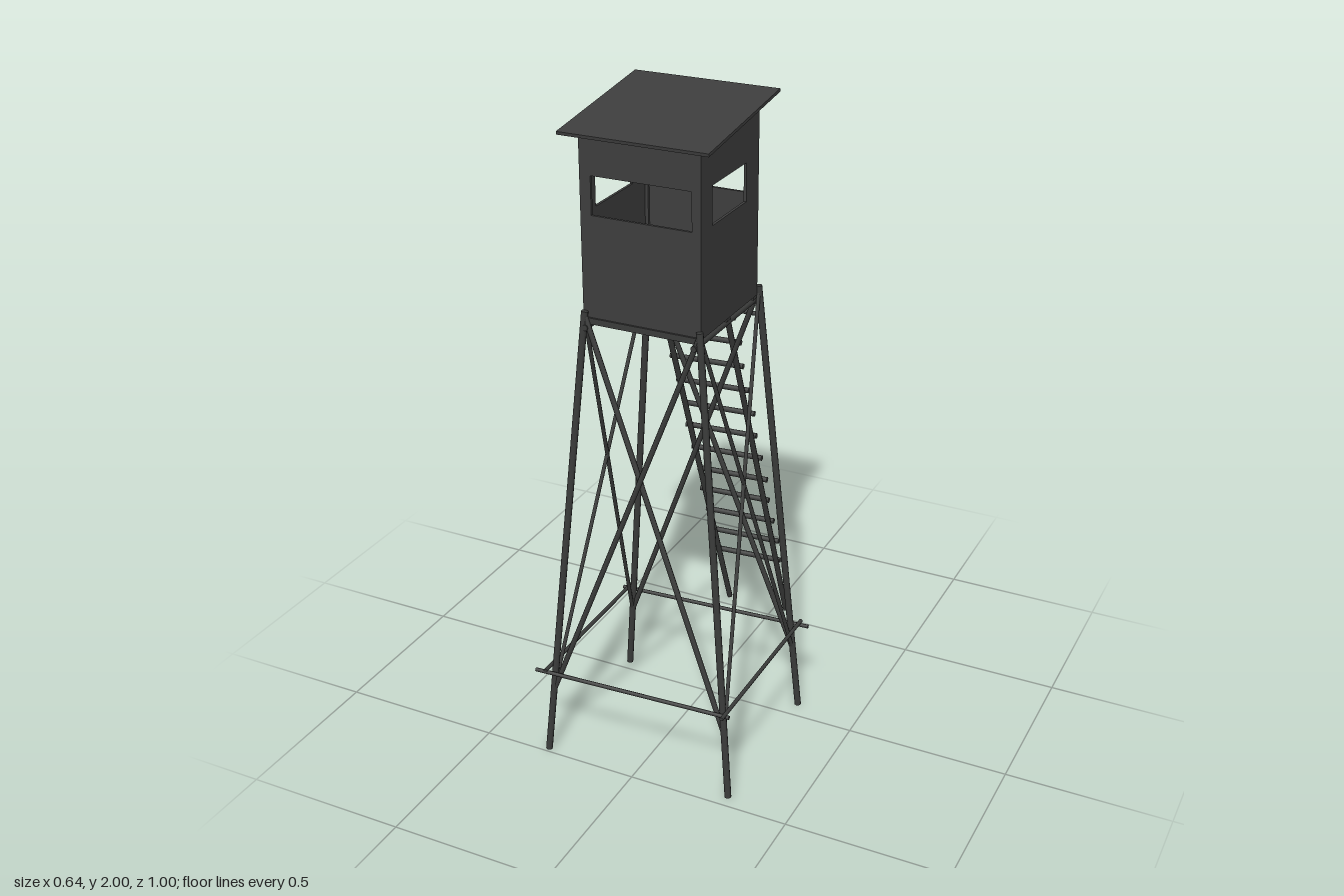
import * as THREE from 'three';

export function createModel() {
  const model = new THREE.Group();
  const panel = new THREE.MeshStandardMaterial({ color: 0x3e3e3e });
  panel.name = 'dark panel';
  const wood = new THREE.MeshStandardMaterial({ color: 0x3b3c3b });
  wood.name = 'dark timber';
  const V = (x, y, z) => new THREE.Vector3(x, y, z);

  function add(name, geometry, material, parent = model) {
    const mesh = new THREE.Mesh(geometry, material);
    mesh.name = name;
    parent.add(mesh);
    return mesh;
  }
  // round pole between two points
  function pole(name, a, b, r, parent = model) {
    const dir = b.clone().sub(a);
    const m = add(name, new THREE.CylinderGeometry(r, r, dir.length(), 8), wood, parent);
    m.position.copy(a).add(b).multiplyScalar(0.5);
    m.quaternion.setFromUnitVectors(V(0, 1, 0), dir.normalize());
    return m;
  }
  function box(name, w, h, d, x, y, z, material = wood, parent = model) {
    const m = add(name, new THREE.BoxGeometry(w, h, d), material, parent);
    m.position.set(x, y, z);
    return m;
  }
  // flat wall with rectangular openings [x0, y0, x1, y1]
  const T = 0.008;
  function wallGeometry(points, openings) {
    const shape = new THREE.Shape(points.map(p => new THREE.Vector2(...p)));
    for (const [x0, y0, x1, y1] of openings) {
      const hole = new THREE.Path();
      hole.moveTo(x0, y0).lineTo(x0, y1).lineTo(x1, y1).lineTo(x1, y0).closePath();
      shape.holes.push(hole);
    }
    return new THREE.ExtrudeGeometry(shape, { depth: T, bevelEnabled: false });
  }

  // cabin
  const W = 0.178, ZF = 0.39, ZB = 0.03, Y0 = 1.41, YF = 1.937, YB = 1.984;
  const WY0 = 1.71, WY1 = 1.82;
  const cabin = new THREE.Group();
  cabin.name = 'cabin';
  model.add(cabin);
  add('frontWall', wallGeometry([[-W, Y0], [W, Y0], [W, YF], [-W, YF]],
    [[-0.145, WY0, 0.152, WY1]]), panel, cabin).position.z = ZF - T;
  add('backWall', wallGeometry([[-W, Y0], [W, Y0], [W, YB], [-W, YB]],
    [[0.04, WY0, 0.152, WY1], [-0.16, 1.44, -0.003, 1.974]]), panel, cabin).position.z = ZB;
  for (const s of [-1, 1]) {
    const g = wallGeometry([[-ZF, Y0], [-ZB, Y0], [-ZB, YB], [-ZF, YF]],
      [[-0.32, WY0, -0.11, WY1]]);
    g.rotateY(Math.PI / 2);
    add('sideWall', g, panel, cabin).position.x = s > 0 ? W - T : -W;
  }

  // door standing ajar
  const door = new THREE.Group();
  door.name = 'door';
  door.position.set(-0.173, 1.702, 0.026);
  door.rotation.y = Math.atan2(0.036, 0.158);
  cabin.add(door);
  box('doorPanel', 0.162, 0.508, 0.008, 0.081, 0, 0, panel, door);
  box('doorHandle', 0.006, 0.012, 0.006, 0.145, -0.01, -0.007, wood, door);

  // sloping roof
  const roof = box('roof', 0.44, 0.009, 0.444, 0, 1.9655, 0.21, panel, cabin);
  roof.rotation.x = Math.atan2(0.057, 0.44);

  // floor planks, joists and bearers
  for (let i = 0; i < 6; i++)
    box('floorPlank', 0.056, 0.01, 0.344, -0.145 + i * 0.058, 1.42, 0.21);
  for (const z of [0.385, 0.21, 0.035])
    box('joist', 0.35, 0.018, 0.022, 0, 1.407, z);
  for (const s of [-1, 1])
    pole('bearer', V(s * 0.165, 1.39, 0.41), V(s * 0.165, 1.39, -0.015), 0.009);
  pole('crossBearer', V(-0.165, 1.342, 0.012), V(0.19, 1.342, 0.008), 0.007);

  // splayed legs, in order round the tower
  const feet = [V(-0.293, 0, 0.484), V(0.299, 0, 0.46), V(0.299, 0, -0.06), V(-0.293, 0, -0.04)];
  const tops = [V(-0.17, 1.435, 0.397), V(0.178, 1.435, 0.397), V(0.178, 1.435, 0.02), V(-0.17, 1.435, 0.02)];
  feet.forEach((f, i) => pole('leg', f, tops[i], 0.0105));

  // crossed braces on all four sides
  const at = (i, y) => feet[i].clone().lerp(tops[i], y / 1.435);
  for (let i = 0; i < 4; i++) {
    const j = (i + 1) % 4, r = i % 2 ? 0.006 : 0.008;
    pole('brace', at(i, 0.21), at(j, 1.425), r);
    pole('brace', at(j, 0.21), at(i, 1.425), r);
  }

  // low rails round the legs
  pole('frontRail', V(-0.322, 0.283, 0.492), V(0.302, 0.283, 0.462), 0.006);
  pole('backRail', V(-0.312, 0.28, -0.042), V(0.32, 0.285, -0.076), 0.006);
  pole('sideRail', V(-0.286, 0.295, -0.079), V(-0.286, 0.292, 0.498), 0.006);
  pole('sideRail', V(0.292, 0.295, -0.084), V(0.292, 0.295, 0.494), 0.006);

  // ladder
  const ladder = new THREE.Group();
  ladder.name = 'ladder';
  model.add(ladder);
  pole('ladderRail', V(-0.148, 1.41, 0.022), V(-0.14, 0.045, -0.486), 0.009, ladder);
  pole('ladderRail', V(0.06, 1.41, 0.018), V(0.067, 0.045, -0.492), 0.009, ladder);
  for (let i = 0; i < 13; i++) {
    const y = 1.385 - i * 0.0927;
    const z = 0.008 - 0.51 * (1.41 - y) / 1.365;
    const sway = 0.004 * ((i % 3) - 1);
    pole('rung', V(-0.16 + sway, y - 0.002, z + 0.004), V(0.077 + sway, y + 0.002, z - 0.007), 0.009, ladder);
  }
  return model;
}
